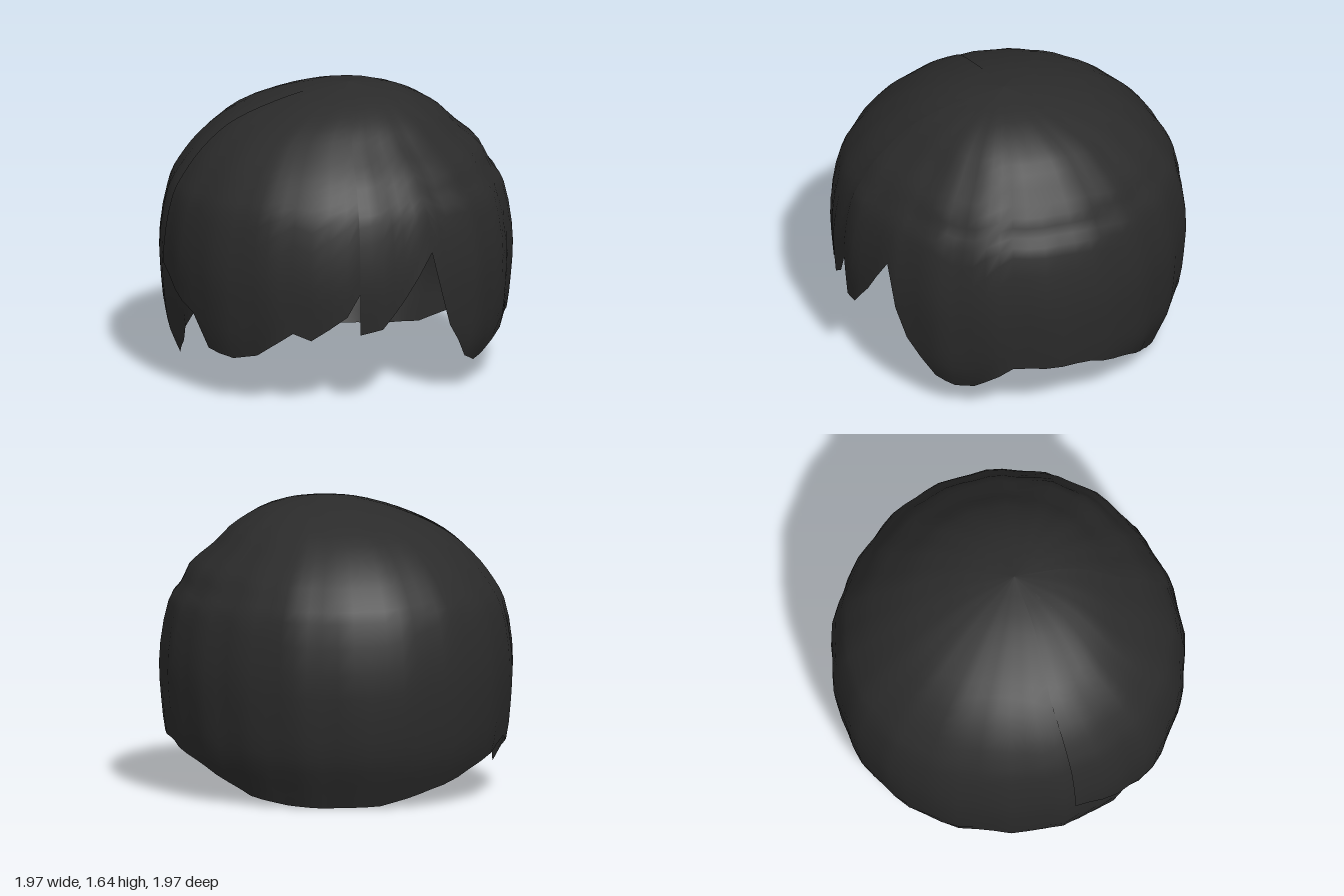
import * as THREE from 'three';

// Radius and height of the dome, from nape to crown
const PROFILE = new THREE.CatmullRomCurve3([
  [0.83, 0], [0.885, 0.13], [0.945, 0.28], [0.975, 0.5], [0.985, 0.76], [0.935, 1.05],
  [0.87, 1.17], [0.77, 1.3], [0.61, 1.44], [0.46, 1.53], [0.26, 1.605], [0, 1.645],
].map(([r, y]) => new THREE.Vector3(r, y, 0)));

// Girth around the head as [degrees from the front towards the left, scale]
const GIRTH = [
  [0, 1.0], [35, 0.985], [60, 1.0], [90, 1.0], [115, 0.995], [145, 0.98], [180, 1.0],
  [210, 1.02], [232, 1.015], [265, 0.995], [290, 1.0], [325, 1.025], [345, 1.015], [360, 1.0],
];

// Jagged hem as [degrees, height], once around with the right side tucked under the fringe
const HEM = [
  // fringe
  [290, 0.66], [300, 0.55], [311, 0.46], [317, 0.27], [328, 0.245], [337, 0.28], [350, 0.43],
  [356, 0.39], [368, 0.53], [372.2, 0.66], [372.4, 0.42], [380, 0.45], [388, 0.61], [398, 0.86],
  // left sideburn
  [402, 0.6], [406, 0.42], [416, 0.2], [423, 0.15], [430, 0.16], [444, 0.33],
  // nape
  [472, 0.3], [491, 0.19], [510, 0.05], [526, 0.01], [540, 0], [562, 0.01], [587, 0.11], [623, 0.32],
  // right sideburn
  [641, 0.22], [647, 0.12], [659, 0.24], [671, 0.46], [680, 0.7],
];

// Curve parameter at which the dome reaches a given height
function profileAt(y) {
  let lo = 0, hi = 1;
  for (let i = 0; i < 24; i++) {
    const mid = (lo + hi) / 2;
    if (PROFILE.getPoint(mid).y < y) lo = mid; else hi = mid;
  }
  return lo;
}

function girthAt(deg) {
  const d = deg % 360, i = GIRTH.findIndex(([a]) => a > d);
  const [a0, s0] = GIRTH[i - 1], [a1, s1] = GIRTH[i];
  return THREE.MathUtils.mapLinear(THREE.MathUtils.smoothstep(d, a0, a1), 0, 1, s0, s1);
}

// Sheet of hair running from the hem up to the crown
function hairSheet(hem) {
  const columns = [];
  hem.forEach(([a, y], i) => {
    if (i === hem.length - 1) { columns.push([a, y]); return; }
    const [a2, y2] = hem[i + 1];
    const n = Math.ceil((a2 - a) / 6);
    for (let k = 0; k < n; k++) columns.push([a + (a2 - a) * k / n, y + (y2 - y) * k / n]);
  });
  const rows = 22, pos = [], index = [], { smoothstep, degToRad } = THREE.MathUtils;
  columns.forEach(([deg, y0], i) => {
    const a = degToRad(deg), u0 = profileAt(y0);
    // The fringe starts slightly proud of the side it overlaps
    const lift = 0.012 * (1 - smoothstep(deg, hem[0][0], hem[0][0] + 70));
    for (let j = 0; j <= rows; j++) {
      const p = PROFILE.getPoint(u0 + (1 - u0) * j / rows);
      // Soft locks all round, and swept ridges on the upper left
      const locks = 0.007 * Math.sin(19 * a + 2 * p.y);
      const band = smoothstep(p.y, 1.02, 1.15) * (1 - smoothstep(p.y, 1.45, 1.58));
      const ridges = 0.014 * band * Math.max(0, Math.sin(a)) * Math.cos((p.y - 1.26) * 30);
      const r = p.x * (girthAt(deg) + locks + ridges) + lift * Math.min(1, p.x * 3);
      // Crown set slightly forward and left
      const lean = smoothstep(p.y, 1.4, 1.645);
      pos.push(r * Math.sin(a) + 0.08 * lean, p.y, r * Math.cos(a) + 0.04 * lean);
      if (i < columns.length - 1 && j < rows) {
        const q = i * (rows + 1) + j, s = q + rows + 1;
        index.push(q, s, s + 1, q, s + 1, q + 1);
      }
    }
  });
  const g = new THREE.BufferGeometry();
  g.setAttribute('position', new THREE.Float32BufferAttribute(pos, 3));
  g.setIndex(index);
  g.computeVertexNormals();
  return g;
}

export function createModel() {
  const group = new THREE.Group();
  group.name = 'hair';
  const hair = new THREE.MeshStandardMaterial({ color: 0x2b2b2b, side: THREE.DoubleSide });
  hair.name = 'charcoal hair';
  const sheet = new THREE.Mesh(hairSheet(HEM), hair);
  sheet.name = 'sweptHair';
  group.add(sheet);
  return group;
}
